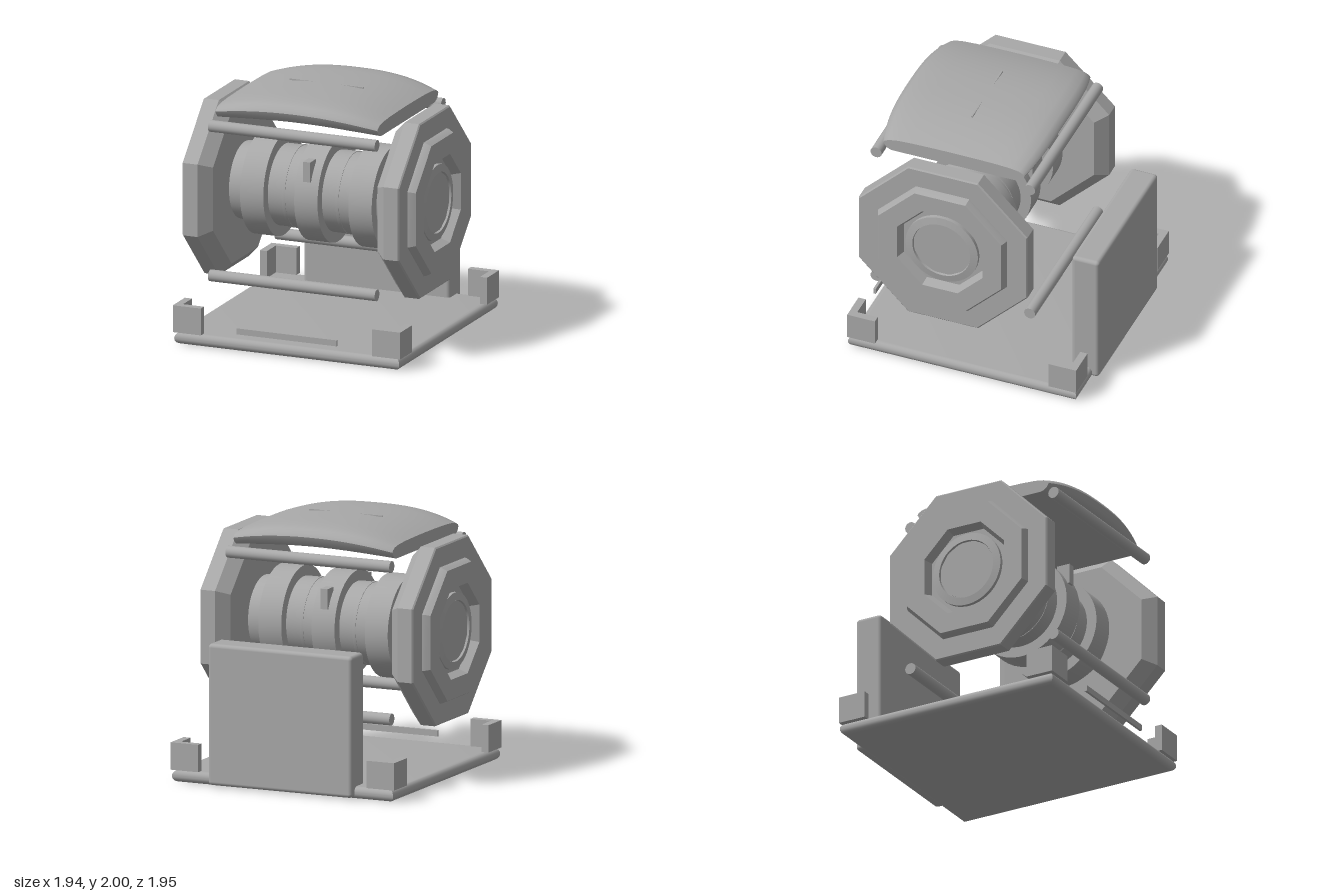
import * as THREE from 'three';
import { toCreasedNormals } from 'three/addons/utils/BufferGeometryUtils.js';
import { RoundedBoxGeometry } from 'three/addons/geometries/RoundedBoxGeometry.js';

const AXIS_Y = 1.147, AXIS_Z = 0.2;

export function createModel() {
  const model = new THREE.Group();
  const grey = new THREE.MeshStandardMaterial({ color: 0xa8a8a8 });
  grey.name = 'grey';

  function add(name, geometry, x = 0, y = 0, z = 0, parent = model) {
    const mesh = new THREE.Mesh(geometry, grey);
    mesh.name = name;
    mesh.position.set(x, y, z);
    parent.add(mesh);
    return mesh;
  }
  const box = (name, w, h, d, x, y, z) => add(name, new THREE.BoxGeometry(w, h, d), x, y, z);

  // Turned solid along +x; profile is [radius, x], with radius measured to the flats if asked
  function turned(profile, sides, toFlats = false) {
    const k = toFlats ? 1 / Math.cos(Math.PI / sides) : 1;
    const points = profile.map(([r, x]) => new THREE.Vector2(r * k, x));
    const geometry = new THREE.LatheGeometry(points, sides, Math.PI / sides);
    geometry.rotateZ(-Math.PI / 2);
    return toCreasedNormals(geometry, 0.45);
  }

  // Base plate with rounded rim
  const rim = 0.046;
  const w = 0.945 - rim, d = 0.947 - rim;
  const plan = new THREE.Shape([[-w, -d], [w, -d], [w, d], [-w, d]].map(p => new THREE.Vector2(...p)));
  const plate = new THREE.ExtrudeGeometry(plan, {
    depth: 0.004, bevelSize: rim, bevelThickness: rim, bevelSegments: 6,
  });
  plate.rotateX(-Math.PI / 2);
  add('basePlate', toCreasedNormals(plate, 0.5), 0, rim, 0.025);

  // L-shaped corner guards
  for (const sx of [-1, 1]) {
    for (const [sz, edge] of [[1, 0.975], [-1, -0.925]]) {
      box('cornerGuardFace', 0.235, 0.215, 0.06, sx * 0.8375, 0.2035, edge - sz * 0.03);
      box('cornerGuardSide', 0.06, 0.215, 0.17, sx * 0.925, 0.2035, edge - sz * 0.145);
    }
  }
  box('frontStrip', 0.84, 0.048, 0.02, 0, 0.163, 0.963);

  // Upright back panel
  add('backPanel', new RoundedBoxGeometry(1.23, 1.11, 0.225, 4, 0.03), 0, 0.567, -0.8625);

  // Octagonal end housings with a raised ring, recess and round dish
  const housing = turned([
    [0, 0.69], [0.61, 0.69], [0.70, 0.78], [0.70, 0.90], [0.69, 0.91], [0.535, 0.91],
    [0.53, 0.93], [0.51, 0.97], [0.355, 0.97], [0.325, 0.90], [0, 0.90],
  ], 8, true);
  const dishRing = turned([[0.30, 0.895], [0.30, 0.93], [0.24, 0.94], [0.235, 0.92], [0.2, 0.92]], 48);
  const dish = turned([[0.24, 0.895], [0.24, 0.925], [0, 0.925]], 12);
  for (const side of [1, -1]) {
    const end = new THREE.Group();
    end.name = side > 0 ? 'leftEnd' : 'rightEnd';
    end.position.set(0, AXIS_Y, AXIS_Z);
    if (side < 0) end.rotation.y = Math.PI;
    add('housing', housing, 0, 0, 0, end);
    add('dishRing', dishRing, 0, 0, 0, end);
    add('dish', dish, 0, 0, 0, end);
    model.add(end);
  }

  // Central drum, wide bands and fine ribs
  add('drum', turned([
    [0, -0.69], [0.303, -0.69], [0.313, -0.58], [0.32, -0.35],
    [0.32, 0.35], [0.313, 0.58], [0.303, 0.69], [0, 0.69],
  ], 48), 0, AXIS_Y, AXIS_Z);
  const band = turned([[0.3, -0.098], [0.405, -0.098], [0.405, 0.098], [0.3, 0.098]], 48);
  for (const x of [-0.455, 0, 0.455]) add('band', band, x, AXIS_Y, AXIS_Z);
  const rib = turned([[0.3, -0.013], [0.324, -0.013], [0.324, 0.013], [0.3, 0.013]], 48);
  for (const x of [-0.225, 0.225]) add('rib', rib, x, AXIS_Y, AXIS_Z);
  for (const s of [-1, 1]) box('bandClip', 0.06, 0.16, 0.11, 0, 1.385, AXIS_Z + s * 0.335);

  // Four tie rods
  const rod = new THREE.CylinderGeometry(0.046, 0.046, 1.4, 24);
  rod.rotateZ(Math.PI / 2);
  for (const y of [0.545, 1.742]) for (const z of [-0.437, 0.838]) add('tieRod', rod, 0, y, z);

  // Arched top cushion, lofted across x
  add('topCushion', cushion(), 0, 0, AXIS_Z);
  box('cushionSeam', 0.62, 0.012, 0.014, 0, 1.993, AXIS_Z);
  return model;
}

function cushion() {
  // Half section as [depth fraction, height fraction], mirrored in z
  const half = [[0.3, 0.99], [0.6, 0.96], [0.8, 0.9], [0.92, 0.8], [0.98, 0.65], [1, 0.5], [0.97, 0.25], [0.93, 0.08], [0.88, 0]];
  const ring = [[0, 1], ...half, ...half.slice().reverse().map(([z, y]) => [-z, y])];
  const n = ring.length, steps = 24, position = [], index = [];
  for (let i = 0; i <= steps; i++) {
    const t = (i / steps) * 2 - 1, a = Math.abs(t);
    const top = 2 - 0.1 * a ** 2.4;
    const bottom = 1.785 + 0.045 * (1 - a * a);
    const depth = 0.655 - 0.07 * a ** 3;
    for (const [z, y] of ring) position.push(t * 0.68, bottom + (top - bottom) * y, z * depth);
  }
  for (let i = 0; i < steps; i++) {
    for (let j = 0; j < n; j++) {
      const a = i * n + j, b = i * n + ((j + 1) % n);
      index.push(a, b, a + n, b, b + n, a + n);
    }
  }
  // End caps
  const last = steps * n;
  for (let j = 1; j < n - 1; j++) {
    index.push(0, j + 1, j, last, last + j, last + j + 1);
  }
  const geometry = new THREE.BufferGeometry();
  geometry.setAttribute('position', new THREE.Float32BufferAttribute(position, 3));
  geometry.setIndex(index);
  return toCreasedNormals(geometry, 0.7);
}
